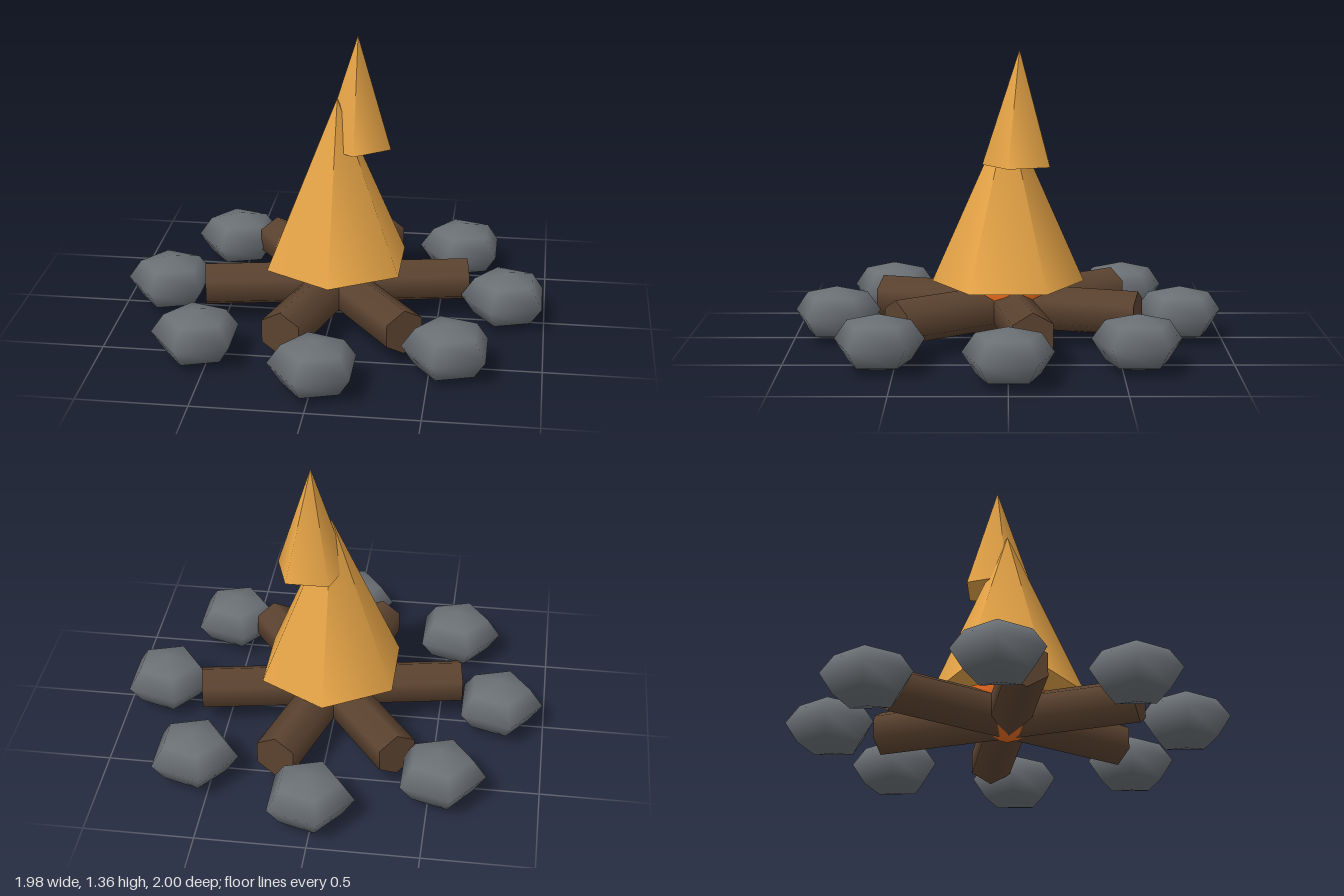
import * as THREE from 'three';

export function createModel() {
  const model = new THREE.Group();
  model.name = 'campfire';

  const paint = (name, color) => {
    const m = new THREE.MeshStandardMaterial({ color });
    m.name = name;
    return m;
  };
  const stoneGrey = paint('stone grey', 0x6b7075);
  const barkBrown = paint('bark brown', 0x5c4330);
  const flameYellow = paint('flame yellow', 0xeaa748);
  const emberOrange = paint('ember orange', 0xe86a1e);

  // the fire sits slightly off the bounding-box centre
  const cx = 0.018;
  const add = (name, geometry, material, x, y, z) => {
    const mesh = new THREE.Mesh(geometry, material);
    mesh.name = name;
    mesh.position.set(x, y, z);
    model.add(mesh);
    return mesh;
  };

  // ring of flattened stones, all turned the same way
  const stoneGeometry = new THREE.SphereGeometry(0.21, 5, 4);
  for (let i = 0; i < 8; i++) {
    const a = (i * Math.PI) / 4;
    const stone = add('stone', stoneGeometry, stoneGrey,
      cx + 0.8 * Math.cos(a), 0.128, 0.8 * Math.sin(a));
    stone.scale.y = 0.6;
  }

  // three crossing six-sided logs, each with an edge on top
  const logGeometry = new THREE.CylinderGeometry(0.105, 0.105, 1.24, 6);
  logGeometry.rotateX(Math.PI / 2).rotateY(Math.PI / 2);
  for (const degrees of [10, 73, 126]) {
    const log = add('log', logGeometry, barkBrown, cx, 0.163, 0);
    log.rotation.y = THREE.MathUtils.degToRad(degrees);
  }

  // glowing core between the logs
  add('ember', new THREE.SphereGeometry(0.2, 6, 4), emberOrange, cx, 0.24, 0);

  // large flame and the smaller one rising from its side
  add('largeFlame', new THREE.ConeGeometry(0.353, 0.8, 6), flameYellow, cx, 0.68, 0);
  add('smallFlame', new THREE.ConeGeometry(0.17, 0.525, 5), flameYellow, 0.106, 1.1025, -0.052);

  return model;
}
